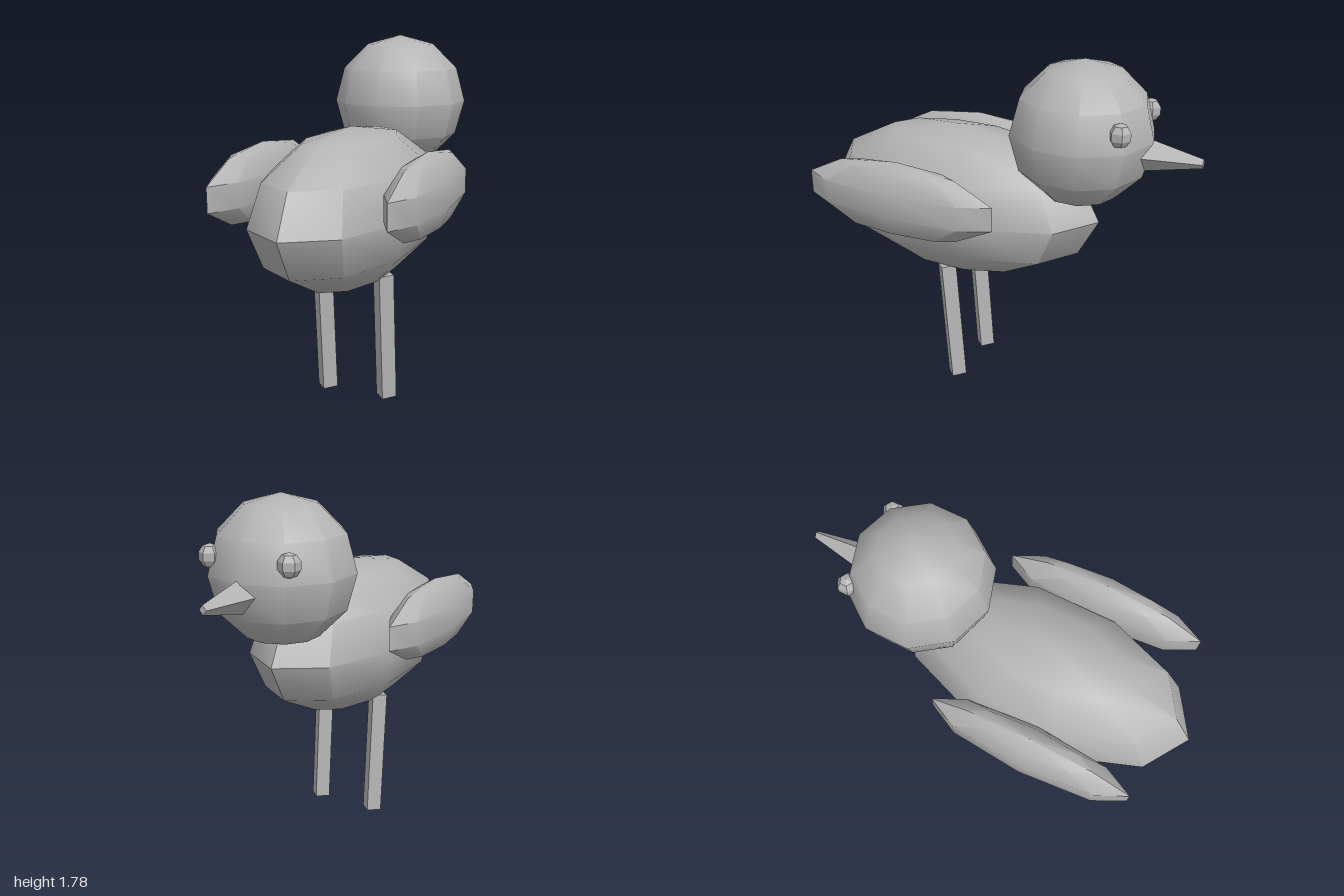
import * as THREE from 'three';
import { toCreasedNormals } from 'three/addons/utils/BufferGeometryUtils.js';

export function createModel() {
  const model = new THREE.Group();
  model.name = 'bird';

  const grey = new THREE.MeshStandardMaterial({ color: 0xb4b4b4 });
  grey.name = 'plain grey';

  const add = (name, geometry, x, y, z) => {
    const mesh = new THREE.Mesh(geometry, grey);
    mesh.name = name;
    mesh.position.set(x, y, z);
    model.add(mesh);
    return mesh;
  };

  // Low-poly ellipsoid with a column of corners on the z axis; sharp edges stay creased
  const ellipsoid = (rx, ry, rz, around, rows, crease) => {
    const g = new THREE.SphereGeometry(1, around, rows);
    g.rotateY(Math.PI / 2);
    g.scale(rx, ry, rz);
    return toCreasedNormals(g, THREE.MathUtils.degToRad(crease));
  };

  // Four-sided tapering prism with flat faces
  const prism = (top, bottom, length) =>
    toCreasedNormals(new THREE.CylinderGeometry(top, bottom, length, 4), 0.3);

  // Body and head
  add('body', ellipsoid(0.382, 0.382, 0.765, 10, 6, 40), 0, 0.993, 0.235);
  add('head', ellipsoid(0.347, 0.347, 0.347, 10, 6, 40), 0, 1.435, -0.425);

  // Beak, pointing towards -z with a blunt tip
  const beak = prism(0.022, 0.088, 0.3);
  beak.rotateX(-Math.PI / 2);
  beak.scale(0.85, 1, 1);
  add('beak', beak, 0, 1.378, -0.85);

  // Paired parts
  for (const [side, s] of [['left', 1], ['right', -1]]) {
    add(side + 'Wing', ellipsoid(0.109, 0.191, 0.536, 8, 5, 40), s * 0.42, 1.103, 0.34);
    add(side + 'Eye', ellipsoid(0.053, 0.056, 0.052, 6, 5, 10), s * 0.205, 1.522, -0.679);
    const leg = add(side + 'Leg', prism(0.054, 0.054, 0.657), s * 0.163, 0.333, 0.206);
    leg.rotation.x = 0.073;
  }

  return model;
}
